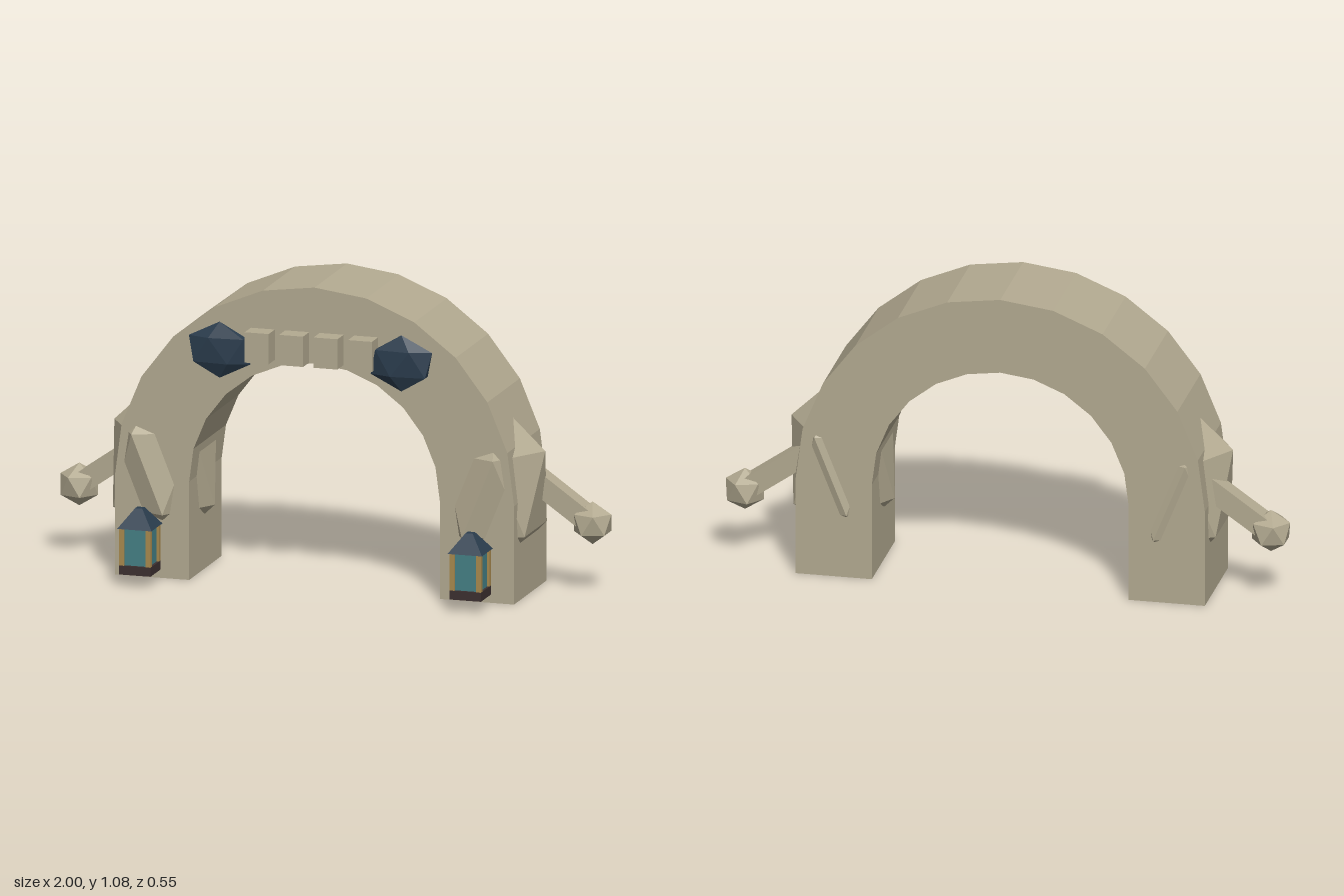
import * as THREE from 'three';

const flat = (name, color) => {
  const m = new THREE.MeshStandardMaterial({ color });
  m.name = name;
  m.flatShading = true;
  return m;
};

export function createModel() {
  const model = new THREE.Group();
  model.name = 'stoneArch';

  const stone = flat('stone', 0xb3aa91);
  const darkBlue = flat('darkBlue', 0x2b3d4e);
  const glass = flat('tealGlass', 0x458085);
  const brass = flat('brass', 0xa98a4e);
  const darkBase = flat('darkBrown', 0x3d3030);

  const add = (parent, name, geometry, material, x = 0, y = 0, z = 0) => {
    const mesh = new THREE.Mesh(geometry, material);
    mesh.name = name;
    mesh.position.set(x, y, z);
    parent.add(mesh);
    return mesh;
  };

  // Icosahedron standing on a corner, mirrored by side, then stretched
  const rock = (side, sx, sy, sz) =>
    new THREE.IcosahedronGeometry(1, 0)
      .rotateZ(-side * Math.atan2(0.526, 0.851))
      .scale(sx, sy, sz);

  // Arch: two straight legs joined by a faceted half ring
  const outer = 0.725, inner = 0.455, spring = 0.35, steps = 12;
  const arc = (r) => Array.from({ length: steps + 1 }, (_, i) => {
    const a = (i / steps) * Math.PI;
    return new THREE.Vector2(r * Math.cos(a), spring + r * Math.sin(a));
  });
  const profile = new THREE.Shape([
    new THREE.Vector2(outer, 0), ...arc(outer), new THREE.Vector2(-outer, 0),
    new THREE.Vector2(-inner, 0), ...arc(inner).reverse(), new THREE.Vector2(inner, 0),
  ]);
  const archGeo = new THREE.ExtrudeGeometry(profile, { depth: 0.37, bevelEnabled: false });
  add(model, 'arch', archGeo, stone, 0, 0, -0.265);

  // Row of teeth over the opening
  for (const x of [-0.1875, -0.0625, 0.0625, 0.1875]) {
    add(model, 'tooth', new THREE.BoxGeometry(0.087, 0.108, 0.085), stone, x, 0.861, 0.1325);
  }

  // Lantern: base, glass, four posts and a cut-off pyramid roof
  const lantern = () => {
    const g = new THREE.Group();
    g.name = 'lantern';
    add(g, 'lanternBase', new THREE.BoxGeometry(0.115, 0.032, 0.115), darkBase, 0, 0.059, 0);
    add(g, 'lanternGlass', new THREE.BoxGeometry(0.098, 0.132, 0.098), glass, 0, 0.141, 0);
    for (const x of [-1, 1]) for (const z of [-1, 1]) {
      add(g, 'lanternPost', new THREE.BoxGeometry(0.018, 0.132, 0.018), brass, x * 0.048, 0.141, z * 0.048);
    }
    const roof = new THREE.CylinderGeometry(0.013 * Math.SQRT2, 0.0625 * Math.SQRT2, 0.066, 4)
      .rotateY(Math.PI / 4);
    add(g, 'lanternRoof', roof, darkBlue, 0, 0.239, 0);
    return g;
  };

  for (const side of [-1, 1]) {
    // Rock bulging through the leg on all sides
    add(model, 'shoulderRock', rock(side, 0.204, 0.313, 0.24), stone, side * 0.6, 0.37, -0.07);

    // Flattened eye gem
    add(model, 'eye', rock(side, 0.125, 0.1, 0.03), darkBlue, side * 0.33, 0.84, 0.15);

    // Sloping arm ending in a fist
    const arm = add(model, 'arm', new THREE.BoxGeometry(0.36, 0.074, 0.068), stone, side * 0.79, 0.35, -0.14);
    arm.rotation.z = -side * 0.61;
    add(model, 'fist', rock(side, 0.076, 0.076, 0.076), stone, side * 0.932, 0.25, -0.14);

    const lamp = lantern();
    lamp.position.set(side * 0.6, 0, 0.2125);
    model.add(lamp);
  }

  return model;
}
